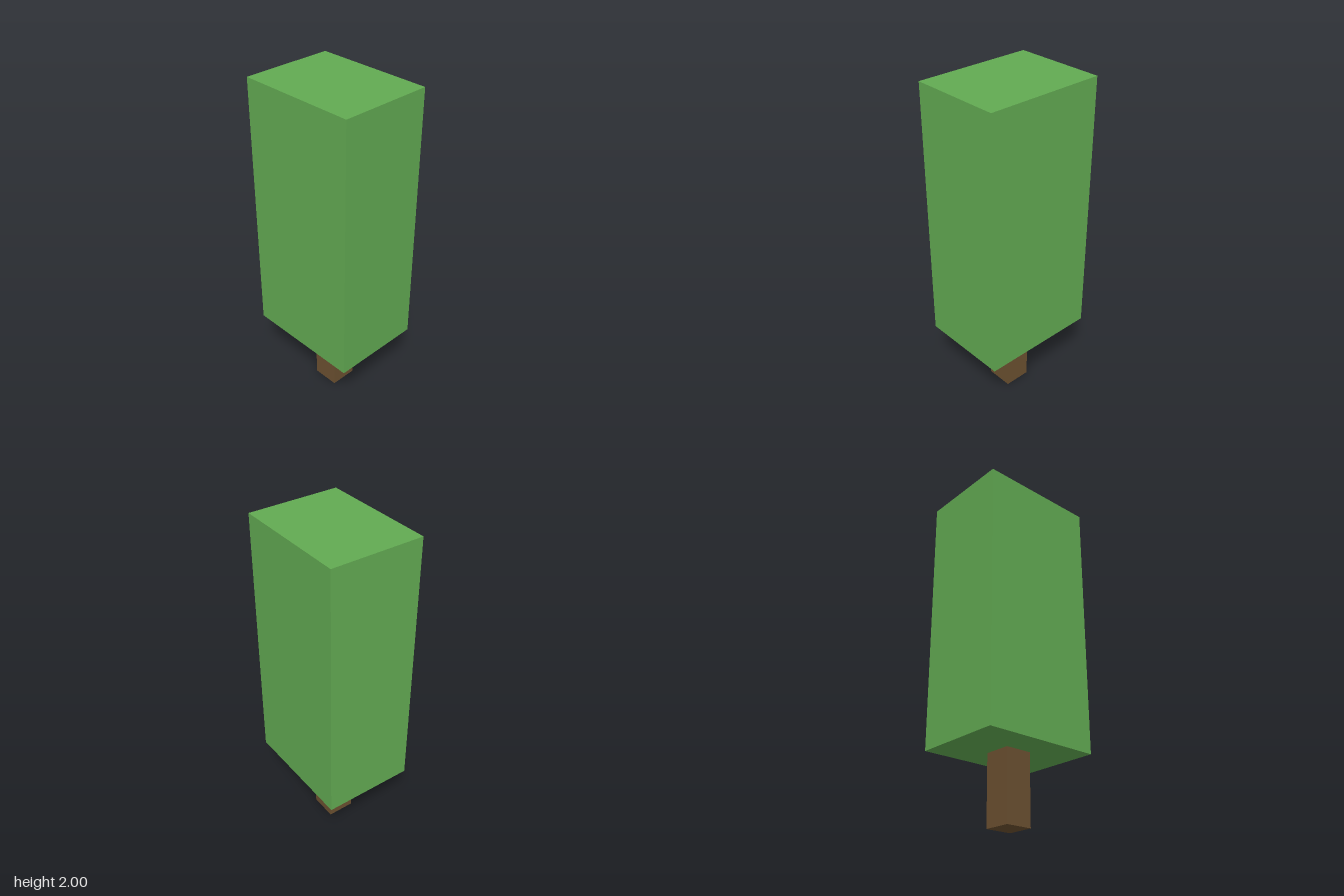
import * as THREE from 'three';

// Box standing on height y0
function block(name, width, height, depth, y0, color) {
  const mesh = new THREE.Mesh(
    new THREE.BoxGeometry(width, height, depth),
    new THREE.MeshStandardMaterial({ color, flatShading: true })
  );
  mesh.name = name;
  mesh.position.y = y0 + height / 2;
  return mesh;
}

export function createModel() {
  const tree = new THREE.Group();
  tree.name = 'tree';
  const trunkHeight = 0.415;

  // Square trunk, meeting the underside of the crown
  tree.add(block('trunk', 0.165, trunkHeight, 0.165, 0, 0x6b5030));

  // Tall block of foliage
  tree.add(block('crown', 0.724, 2 - trunkHeight, 0.554, trunkHeight, 0x62aa52));

  return tree;
}
